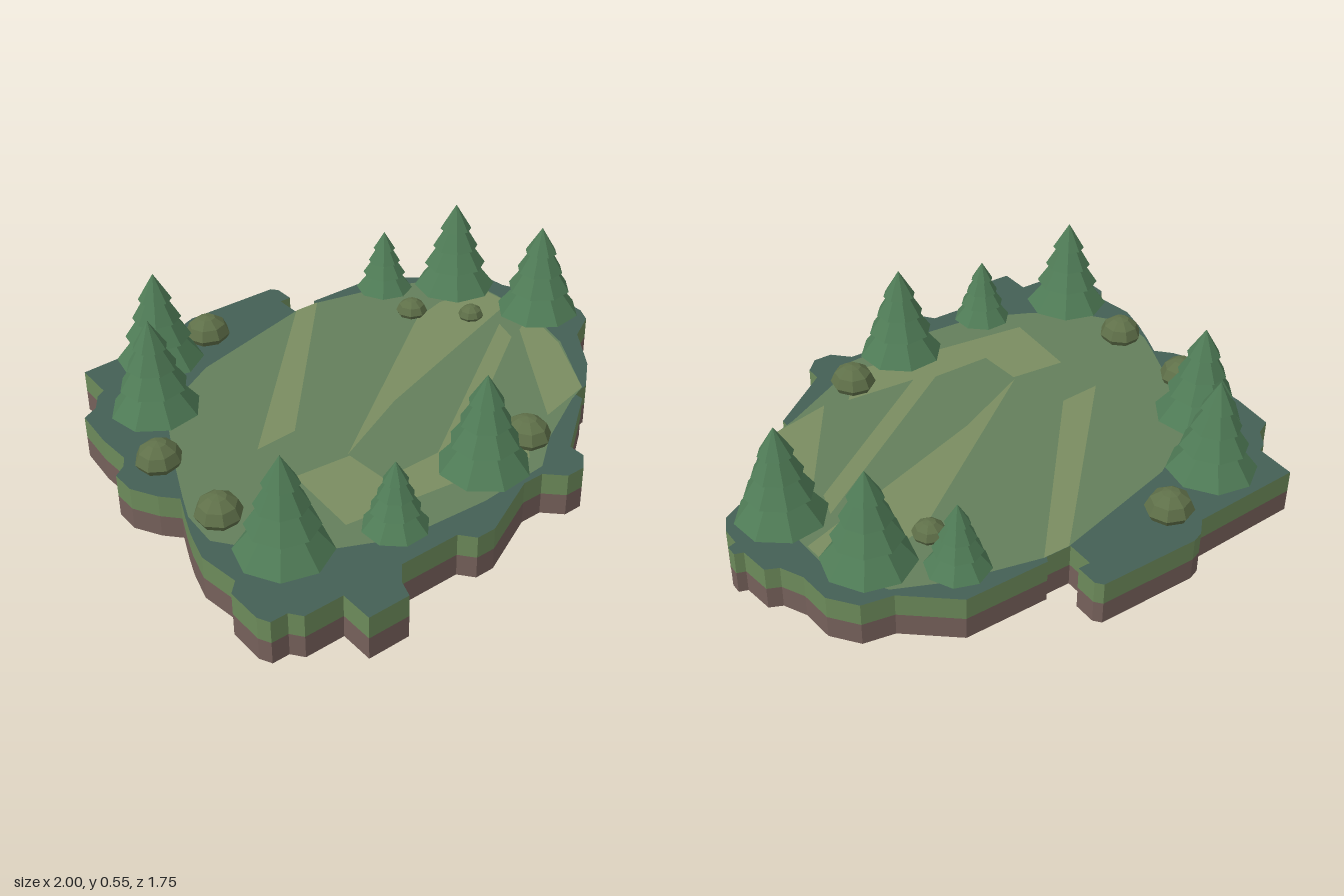
import * as THREE from 'three';

const TOP = 0.16;
const mat = (color, extra = {}) => new THREE.MeshStandardMaterial({ color, flatShading: true, ...extra });
const GRASS = mat(0x6c8a5a), RIM = mat(0x446055), EARTH = mat(0x75605a);
const FIELD = mat(0x647f5b), STRAW = mat(0x7b8d61);
const NEEDLES = mat(0x4f7b56), BARK = mat(0x6b4530), STONE = mat(0x5f7049);

// Ragged coastline as x, z pairs, clockwise from the back left corner
const COAST = [
  -0.76, -0.79, -0.34, -0.81, -0.29, -0.86, -0.25, -0.875, 0.12, -0.875, 0.14, -0.85, 0.14, -0.77,
  0.095, -0.77, 0.095, -0.67, 0.19, -0.67, 0.2, -0.69, 0.51, -0.69, 0.68, -0.55, 0.79, -0.53,
  0.86, -0.44, 0.87, -0.32, 0.91, -0.24, 0.955, -0.22, 0.97, -0.11, 1.0, -0.1, 1.0, -0.06,
  0.97, -0.05, 0.97, 0.02, 0.94, 0.08, 0.83, 0.14, 0.71, 0.31, 0.6, 0.41, 0.53, 0.42,
  0.53, 0.46, 0.29, 0.64, 0.29, 0.7, 0.24, 0.75, 0.17, 0.75, 0.11, 0.69, 0.03, 0.69,
  -0.2, 0.8, -0.27, 0.8, -0.31, 0.75, -0.53, 0.75, -0.58, 0.81, -0.6, 0.87, -0.75, 0.87,
  -0.75, 0.75, -0.89, 0.75, -0.92, 0.71, -0.98, 0.71, -1.0, 0.67, -1.0, 0.54, -0.96, 0.5,
  -0.98, 0.35, -0.95, 0.24, -0.92, 0.16, -0.88, 0.065, -0.93, 0.01, -0.98, -0.08, -0.98, -0.17,
  -0.935, -0.2, -0.91, -0.24, -0.915, -0.37, -0.9, -0.53, -0.84, -0.56, -0.8, -0.62, -0.765, -0.64,
];

function shapeOf(flat) {
  const pts = [];
  for (let i = 0; i < flat.length; i += 2) pts.push(new THREE.Vector2(flat[i], -flat[i + 1]));
  return new THREE.Shape(pts);
}

function add(parent, name, geometry, material) {
  const mesh = new THREE.Mesh(geometry, material);
  mesh.name = name;
  parent.add(mesh);
  return mesh;
}

// Slab with the coastline as its outline
function slab(parent, name, y, height, materials) {
  const g = new THREE.ExtrudeGeometry(shapeOf(COAST), { depth: height, bevelEnabled: false });
  g.rotateX(-Math.PI / 2);
  add(parent, name, g, materials).position.y = y;
}

// Flat ground patch lying on the meadow
function patch(parent, name, flat, lift, material) {
  const g = new THREE.ShapeGeometry(shapeOf(flat));
  g.rotateX(-Math.PI / 2);
  add(parent, name, g, material).position.y = TOP + lift;
}

// Conifer: short trunk and four overlapping octagonal skirts
function conifer(x, z, scale, turn) {
  const tree = new THREE.Group();
  tree.name = 'conifer';
  const trunk = add(tree, 'trunk', new THREE.CylinderGeometry(0.014, 0.016, 0.1, 6), BARK);
  trunk.position.y = 0.05;
  const tiers = [ // base height, base radius, top height, top radius
    [0.04, 0.157, 0.17, 0.055],
    [0.135, 0.118, 0.25, 0.04],
    [0.21, 0.087, 0.315, 0.025],
    [0.285, 0.06, 0.385, 0],
  ];
  for (const [y0, r0, y1, r1] of tiers) {
    const skirt = add(tree, 'foliage', new THREE.CylinderGeometry(r1, r0, y1 - y0, 8), NEEDLES);
    skirt.position.y = (y0 + y1) / 2;
  }
  tree.position.set(x, TOP, z);
  tree.rotation.y = turn;
  tree.scale.setScalar(scale);
  return tree;
}

// Faceted boulder: squat octagonal dome
function boulder(x, z, r, turn) {
  const profile = [[0, 0], [0.85, 0], [1, 0.25], [0.8, 0.68], [0.38, 0.97], [0, 1.04]];
  const g = new THREE.LatheGeometry(profile.map(([a, b]) => new THREE.Vector2(a, b)), 8);
  const rock = new THREE.Mesh(g, STONE);
  rock.name = 'boulder';
  rock.position.set(x, TOP, z);
  rock.scale.set(r, r * 1.03, r * 0.95);
  rock.rotation.y = turn;
  return rock;
}

export function createModel() {
  const model = new THREE.Group();
  model.name = 'forestClearing';

  // Ground layers
  slab(model, 'earthLayer', 0, 0.08, EARTH);
  slab(model, 'grassLayer', 0.08, 0.08, [RIM, GRASS]);

  // Clearing and its lighter strips
  patch(model, 'clearing', [
    0.1, -0.67, 0.2, -0.67, 0.5, -0.6, 0.68, -0.52, 0.79, -0.34, 0.8, -0.08, 0.74, 0.14, 0.58, 0.41,
    0.5, 0.44, 0.27, 0.56, 0.14, 0.66, -0.13, 0.68, -0.45, 0.66, -0.64, 0.57, -0.8, 0.46,
    -0.92, 0.3, -0.91, 0.16, -0.87, 0.06, -0.8, -0.1, -0.66, -0.39, -0.4, -0.54,
  ], 0.001, FIELD);
  patch(model, 'lightStrip', [0.1, -0.67, 0.2, -0.67, -0.38, -0.01, -0.54, 0.0], 0.002, STRAW);
  patch(model, 'lightStrip', [-0.32, 0.21, 0.43, -0.33, 0.58, -0.37, 0.78, -0.35, 0.79, -0.2, 0.0, 0.06], 0.002, STRAW);
  patch(model, 'lightStrip', [
    -0.53, 0.2, -0.32, 0.22, -0.31, 0.39, -0.08, 0.39, 0.65, -0.1, 0.62, 0.0, 0.0, 0.42,
    0.27, 0.44, 0.14, 0.6, -0.13, 0.55, -0.55, 0.5,
  ], 0.002, STRAW);
  patch(model, 'lightStrip', [0.36, 0.46, 0.68, -0.02, 0.79, -0.08, 0.73, 0.14, 0.58, 0.41], 0.002, STRAW);

  // Trees around the edge
  [
    [-0.52, -0.65, 1], [-0.7, -0.38, 1], [0.68, -0.4, 1], [0.8, -0.05, 1],
    [-0.79, 0.51, 1], [-0.04, 0.57, 1], [0.46, -0.57, 0.7], [-0.45, 0.62, 0.7],
  ].forEach(([x, z, s], i) => model.add(conifer(x, z, s, 0.2 + i * 0.37)));

  // Boulders between the trees
  [
    [-0.275, -0.72, 0.086], [-0.835, -0.14, 0.084], [-0.835, 0.22, 0.084],
    [0.205, 0.515, 0.086], [0.44, -0.375, 0.06], [0.6, -0.21, 0.05],
  ].forEach(([x, z, r], i) => model.add(boulder(x, z, r, i * 0.6)));

  return model;
}
